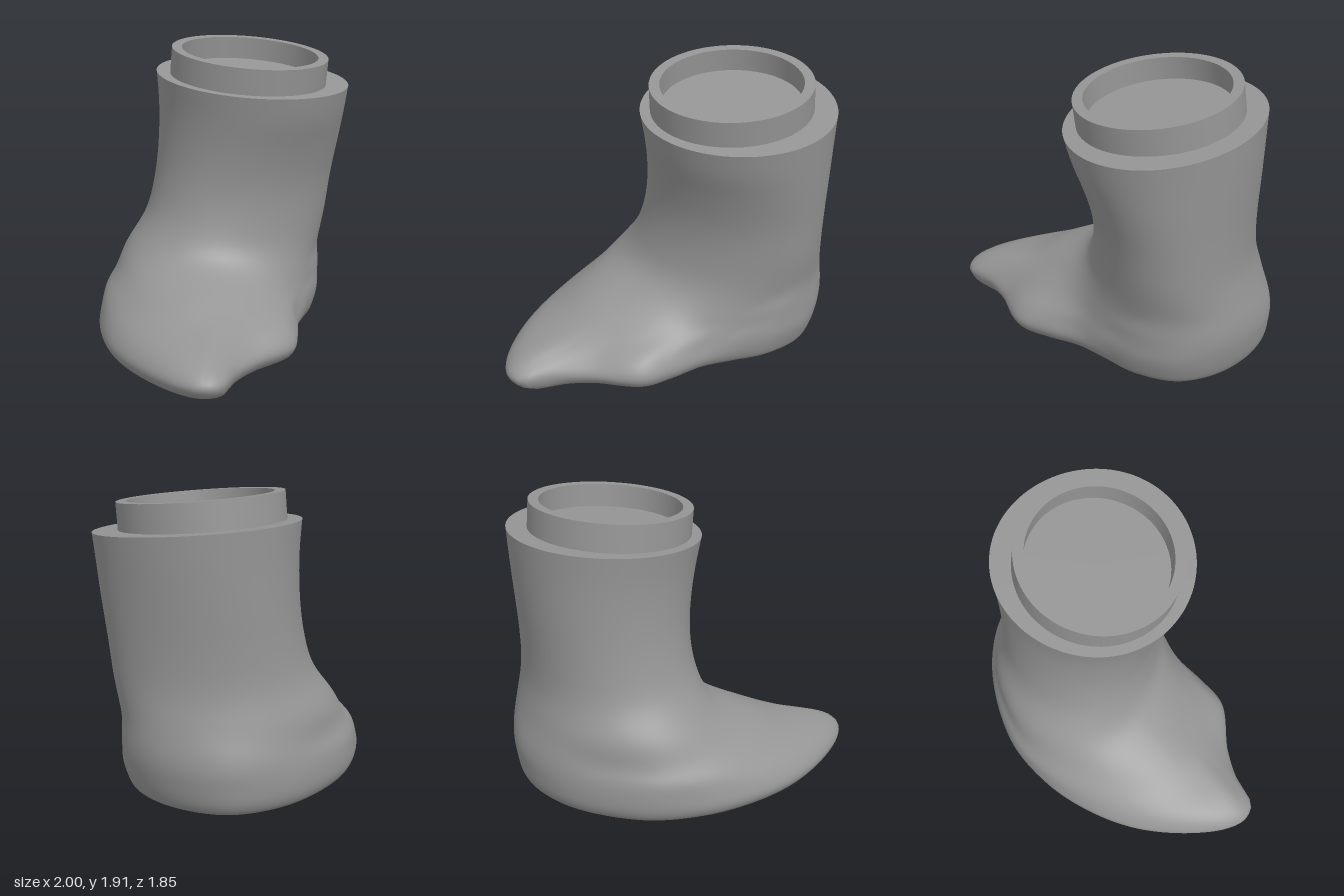
import * as THREE from 'three';
import { toCreasedNormals } from 'three/addons/utils/BufferGeometryUtils.js';

const SIDES = 180, ROWS = 100;

// Outlines [x, z] of the foot at four heights, starting near the toe tip
const widest = [[-0.8, 0.93], [-0.9, 0.88], [-0.965, 0.745], [-0.997, 0.45], [-0.96, 0.1], [-0.84, -0.22], [-0.64, -0.52],
  [-0.32, -0.78], [0.2, -0.91], [0.6, -0.8], [0.84, -0.47], [0.87, -0.13], [0.7, 0.13], [0.49, 0.28], [0.29, 0.42],
  [0.12, 0.6], [-0.05, 0.74], [-0.4, 0.775], [-0.62, 0.84], [-0.72, 0.905]];
const toeTops = [[-0.79, 0.81], [-0.89, 0.69], [-0.935, 0.42], [-0.91, 0.1], [-0.82, -0.2], [-0.64, -0.51], [-0.35, -0.775],
  [0.2, -0.925], [0.62, -0.81], [0.87, -0.48], [0.905, -0.13], [0.74, 0.13], [0.5, 0.29], [0.29, 0.4], [0.1, 0.57],
  [-0.07, 0.69], [-0.38, 0.69], [-0.6, 0.745]];
const instep = [[-0.55, 0.53], [-0.7, 0.4], [-0.78, 0.15], [-0.75, -0.18], [-0.62, -0.49], [-0.36, -0.755], [0.2, -0.92],
  [0.62, -0.82], [0.88, -0.5], [0.925, -0.17], [0.76, 0.11], [0.5, 0.27], [0.25, 0.38], [0.05, 0.48], [-0.12, 0.54], [-0.35, 0.55]];
const upperInstep = [[-0.3, 0.39], [-0.5, 0.33], [-0.62, 0.15], [-0.645, -0.12], [-0.56, -0.44], [-0.35, -0.7], [0.2, -0.9],
  [0.62, -0.8], [0.88, -0.5], [0.93, -0.2], [0.78, 0.09], [0.5, 0.26], [0.2, 0.35], [-0.05, 0.39]];

const angleAt = (i) => (i / SIDES) * Math.PI * 2;

// Radii of a closed smooth outline, measured around a centre
function outlineRadii(points, cx, cz) {
  const curve = new THREE.CatmullRomCurve3(points.map(([x, z]) => new THREE.Vector3(x - cx, 0, z - cz)), true);
  const pts = curve.getPoints(400);
  return Array.from({ length: SIDES }, (_, i) => {
    const c = Math.cos(angleAt(i)), s = Math.sin(angleAt(i));
    let radius = 0;
    for (let k = 0; k < 400; k++) {
      const p = pts[k], q = pts[k + 1];
      const a = c * p.z - s * p.x, b = c * q.z - s * q.x;
      if (a * b > 0 || a === b) continue;
      const hit = p.clone().lerp(q, a / (a - b));
      radius = Math.max(radius, hit.x * c + hit.z * s);
    }
    return radius;
  });
}

// Sections return a ring of points
function outlineSection(y, cx, cz, points, inset = 0) {
  return outlineRadii(points, cx, cz).map((r, i) => new THREE.Vector3(
    cx + Math.cos(angleAt(i)) * (r - inset), y, cz + Math.sin(angleAt(i)) * (r - inset)));
}
// Tilt leans a ring forward; skew fills the front corner on the +x side and trims the back one
function ellipseSection(y, cx, cz, rx, rz, skew, tilt = 0) {
  return Array.from({ length: SIDES }, (_, i) => {
    const a = angleAt(i), shift = skew * (0.5 + 0.5 * Math.cos(a));
    const dz = Math.sin(a + shift) * rz;
    return new THREE.Vector3(cx + Math.cos(a - shift) * rx, y - tilt * dz, cz + dz);
  });
}

// Evens out the bends along one column of points, ends kept
function relax(points) {
  for (let pass = 0; pass < 12; pass++) {
    const old = points.map((p) => p.clone());
    for (let j = 1; j < points.length - 1; j++) {
      points[j].copy(old[j - 1]).add(old[j + 1]).multiplyScalar(0.25).addScaledVector(old[j], 0.5);
    }
  }
  return points;
}

// Smooth skin through the sections
function loft(sections) {
  const columns = sections[0].map((_, i) => relax(new THREE.CatmullRomCurve3(sections.map((s) => s[i])).getPoints(ROWS)));
  const pos = [], index = [];
  for (let j = 0; j <= ROWS; j++) columns.forEach((col) => pos.push(col[j].x, col[j].y, col[j].z));
  for (let j = 0; j < ROWS; j++) {
    for (let i = 0; i < SIDES; i++) {
      const a = j * SIDES + i, b = j * SIDES + (i + 1) % SIDES;
      index.push(a, a + SIDES, b, b, a + SIDES, b + SIDES);
    }
  }
  return buildGeometry(pos, index);
}

// Flat lid over one ring
function lid(ring, facesUp) {
  const centre = ring.reduce((sum, p) => sum.add(p), new THREE.Vector3()).divideScalar(ring.length);
  const pos = [centre, ...ring].flatMap((p) => [p.x, p.y, p.z]), index = [];
  for (let i = 0; i < SIDES; i++) {
    const cur = i + 1, next = (i + 1) % SIDES + 1;
    index.push(0, facesUp ? next : cur, facesUp ? cur : next);
  }
  return buildGeometry(pos, index);
}

function buildGeometry(pos, index) {
  const geometry = new THREE.BufferGeometry();
  geometry.setAttribute('position', new THREE.Float32BufferAttribute(pos, 3));
  geometry.setIndex(index);
  geometry.computeVertexNormals();
  return geometry;
}

export function createModel() {
  const group = new THREE.Group();
  const material = new THREE.MeshStandardMaterial({ color: 0x959595 });
  const add = (name, geometry) => {
    const mesh = new THREE.Mesh(geometry, material);
    mesh.name = name;
    group.add(mesh);
    return mesh;
  };

  const sections = [
    outlineSection(0, -0.05, -0.05, widest, 0.085),
    outlineSection(0.03, -0.05, -0.05, widest, 0.033),
    outlineSection(0.1, -0.05, -0.05, widest, -0.004),
    outlineSection(0.2, -0.03, -0.07, toeTops),
    outlineSection(0.3, 0.05, -0.15, instep),
    outlineSection(0.4, 0.12, -0.22, upperInstep),
    ellipseSection(0.55, 0.22, -0.29, 0.705, 0.575, 0.04),
    ellipseSection(0.75, 0.3, -0.265, 0.635, 0.535, 0.09),
    ellipseSection(1.0, 0.345, -0.245, 0.605, 0.536, 0.1),
    ellipseSection(1.25, 0.367, -0.21, 0.602, 0.572, 0.08),
    ellipseSection(1.48, 0.372, -0.178, 0.612, 0.607, 0.05, 0.08),
    ellipseSection(1.673, 0.367, -0.16, 0.632, 0.632, 0.04, 0.119),
  ];

  // Foot and leg in one skin, closed by the sole and the collar
  add('footAndLeg', loft(sections));
  add('sole', lid(sections[0], false));
  add('collar', lid(sections[sections.length - 1], true));

  // Hollow neck standing on the sloping collar
  const profile = [[0.522, -0.21], [0.522, 0], [0.455, 0], [0.455, -0.15], [0, -0.15]]
    .map(([r, y]) => new THREE.Vector2(r, y));
  const neck = add('neckSocket', toCreasedNormals(new THREE.LatheGeometry(profile, 96), 0.6));
  neck.position.set(0.325, 1.843, -0.12);
  neck.rotation.x = 0.128;

  return group;
}
